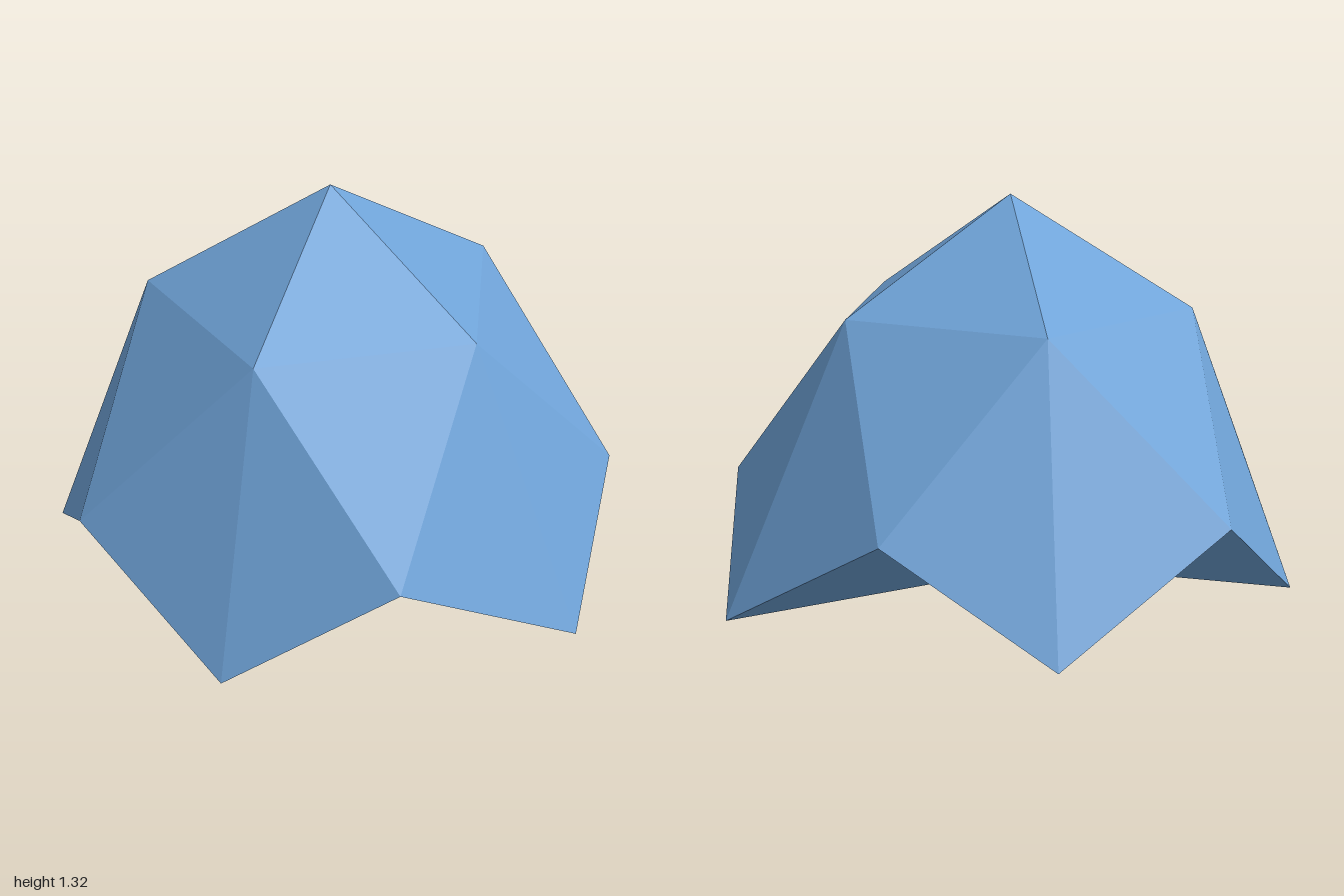
import * as THREE from 'three';

// Five points around the vertical axis through x = cx
function ring(cx, radius, y, startDeg) {
  return Array.from({ length: 5 }, (_, i) => {
    const a = THREE.MathUtils.degToRad(startDeg + 72 * i);
    return [cx + radius * Math.cos(a), y, radius * Math.sin(a)];
  });
}

// Faceted mesh from a list of triangles
function facets(name, triangles, material) {
  const geometry = new THREE.BufferGeometry();
  geometry.setAttribute('position', new THREE.Float32BufferAttribute(triangles.flat(2), 3));
  geometry.computeVertexNormals();
  const mesh = new THREE.Mesh(geometry, material);
  mesh.name = name;
  return mesh;
}

export function createModel() {
  const material = new THREE.MeshStandardMaterial({ color: 0x6fa3d8, flatShading: true, side: THREE.DoubleSide });
  const group = new THREE.Group();
  group.name = 'facetedDome';

  const axis = -0.05;
  const apex = [axis, 1.32, 0];
  const shoulder = ring(axis, 0.61, 0.95, 0);
  const notch = ring(axis, 0.95, 0.35, 36);
  const tip = ring(0, 1, 0, 0);
  const inner = ring(axis, 0.47, 0.11, 36);
  const hollow = [axis, 0.4, 0];

  const cap = [], walls = [], arches = [], soles = [], ceiling = [];
  for (let i = 0; i < 5; i++) {
    const n = (i + 1) % 5, p = (i + 4) % 5;
    cap.push([apex, shoulder[n], shoulder[i]]);
    walls.push(
      [shoulder[n], notch[i], shoulder[i]],
      [shoulder[i], notch[i], tip[i]],
      [shoulder[i], tip[i], notch[p]]
    );
    // Sloping faces of the gap between two feet
    arches.push([tip[i], notch[i], inner[i]], [notch[i], tip[n], inner[i]]);
    soles.push([tip[i], inner[i], inner[p]]);
    ceiling.push([inner[p], inner[i], hollow]);
  }

  group.add(
    facets('cap', cap, material),
    facets('walls', walls, material),
    facets('arches', arches, material),
    facets('footSoles', soles, material),
    facets('hollowCeiling', ceiling, material)
  );
  return group;
}
